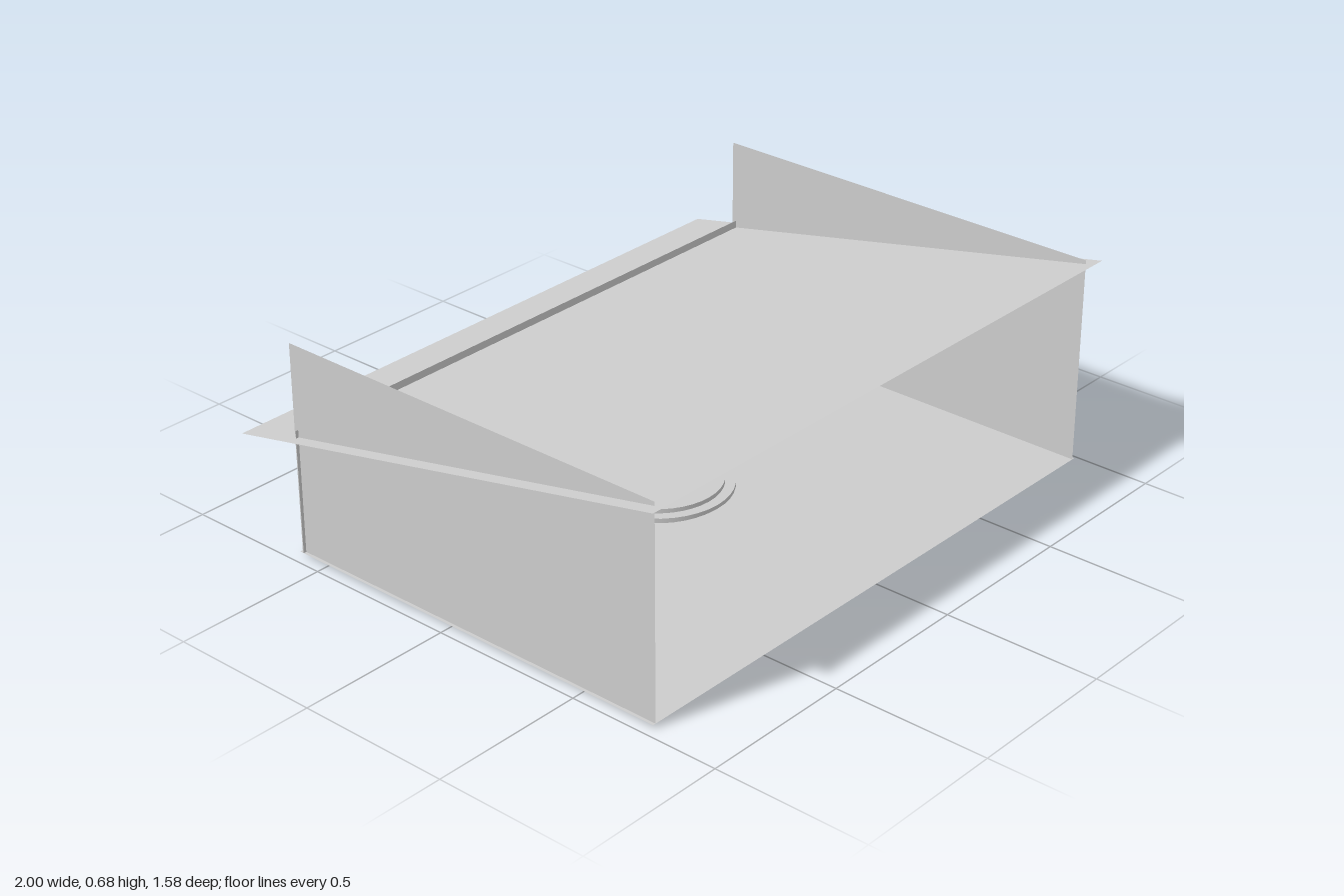
import * as THREE from 'three';

export function createModel() {
  const group = new THREE.Group();
  const grey = new THREE.MeshStandardMaterial({ color: 0xcccccc, side: THREE.DoubleSide });
  grey.name = 'light grey';

  const add = (name, geometry, x, y, z) => {
    const mesh = new THREE.Mesh(geometry, grey);
    mesh.name = name;
    mesh.position.set(x, y, z);
    group.add(mesh);
    return mesh;
  };

  // Floor and back wall
  add('floor', new THREE.PlaneGeometry(1.94, 1.365).rotateX(-Math.PI / 2), 0, 0.016, 0.0775);
  add('backWall', new THREE.PlaneGeometry(1.94, 0.4), 0, 0.216, -0.59);

  // Roof sheet, sloping down from front to back past the walls
  const rise = 0.33, run = 1.58;
  const roof = new THREE.PlaneGeometry(2, Math.hypot(rise, run)).rotateX(-Math.PI / 2);
  add('roof', roof, 0, 0.515, 0).rotation.x = -Math.atan2(rise, run);

  for (const side of [-1, 1]) {
    // Full-height side wall, standing above the roof at the back
    add('sideWall', new THREE.PlaneGeometry(1.365, 0.67).rotateY(side * Math.PI / 2),
      side * 0.96, 0.351, 0.0775);

    // Six-sided column between the backdrop and its wing
    const column = new THREE.CylinderGeometry(0.053, 0.053, 0.374, 6).toNonIndexed();
    column.computeVertexNormals();
    add('backdropColumn', column, side * 0.45, 0.193, -0.523);

    // Wing panel, turned forward by 45 degrees
    add('backdropWing', new THREE.BoxGeometry(0.49, 0.37, 0.008), side * 0.665, 0.188, -0.295)
      .rotation.y = -side * Math.PI / 4;
  }

  // Central backdrop with a thin screen
  add('backdropPanel', new THREE.BoxGeometry(0.82, 0.37, 0.008), 0, 0.188, -0.523);
  add('screen', new THREE.BoxGeometry(0.455, 0.265, 0.008), 0, 0.2175, -0.515);

  // Round stepped podium
  const tier = (name, radius, y, height) =>
    add(name, new THREE.CylinderGeometry(radius, radius, height, 40), 0, y + height / 2, -0.085);
  tier('podiumFoot', 0.225, 0.014, 0.014);
  tier('podiumRim', 0.237, 0.025, 0.013);
  tier('podiumTop', 0.205, 0.038, 0.014);

  // Row of small waisted stools
  const profile = [[0, 0], [0.021, 0], [0.021, 0.006], [0.014, 0.022], [0.014, 0.036],
    [0.022, 0.054], [0.022, 0.058], [0, 0.058]].map(([x, y]) => new THREE.Vector2(x, y));
  const stool = new THREE.LatheGeometry(profile, 16);
  for (let i = 0; i < 4; i++) add('stool', stool, -0.13 + i * 0.085, 0.052, -0.085);

  return group;
}
